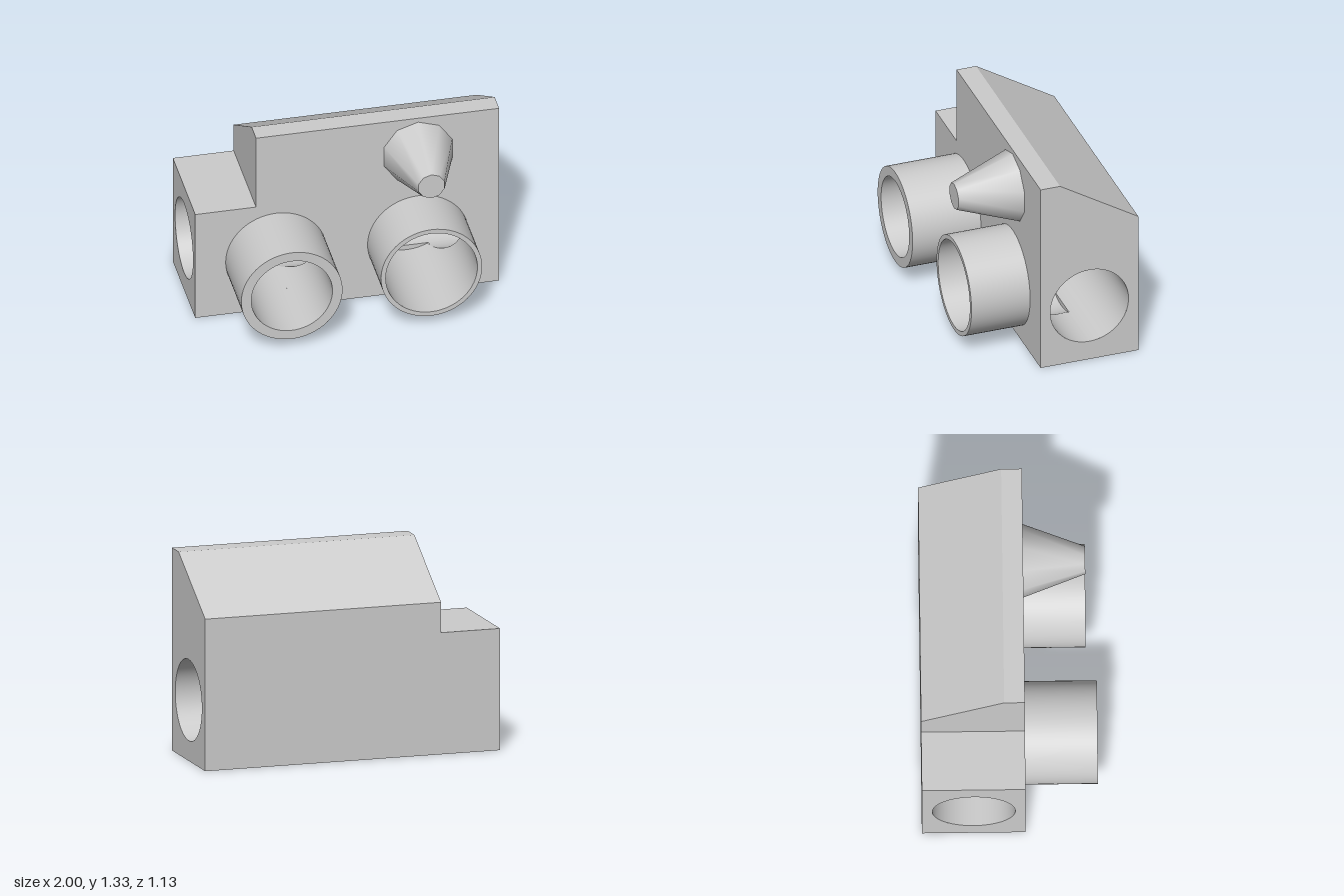
import * as THREE from 'three';
import { ParametricGeometry } from 'three/addons/geometries/ParametricGeometry.js';

const FRONT = 0.1, BACK = -0.567, TOP = 1.333, STEP_X = -0.6, STEP_Y = 0.8;
const BORE = { y: 0.4, z: -0.233, r: 0.267 };
const PORTS = [
  { name: 'rightPort', x: -0.467, inner: 0.267, outer: 0.333, z: 0.567 },
  { name: 'leftPort', x: 0.467, inner: 0.302, outer: 0.333, z: 0.5 },
];

export function createModel() {
  const model = new THREE.Group();
  const material = new THREE.MeshStandardMaterial({ color: 0xcccccc, side: THREE.DoubleSide });

  function add(parent, name, geometry) {
    const mesh = new THREE.Mesh(geometry, material);
    mesh.name = name;
    parent.add(mesh);
    return mesh;
  }
  function group(name) {
    const g = new THREE.Group();
    g.name = name;
    model.add(g);
    return g;
  }
  function face(points, holes = []) {
    const shape = new THREE.Shape(points.map(([x, y]) => new THREE.Vector2(x, y)));
    for (const [x, y, r] of holes) {
      shape.holes.push(new THREE.Path().absarc(x, y, r, 0, Math.PI * 2, true));
    }
    return new THREE.ShapeGeometry(shape, 64);
  }
  // Flat strip running along x between two (y, z) edge points
  function strip(x0, x1, [y0, z0], [y1, z1]) {
    const g = new THREE.BufferGeometry();
    g.setAttribute('position', new THREE.Float32BufferAttribute(
      [x0, y0, z0, x1, y0, z0, x1, y1, z1, x0, y1, z1], 3));
    g.setIndex([0, 1, 2, 0, 2, 3]);
    g.computeVertexNormals();
    return g;
  }
  function surface(fn, nu, nv) {
    const g = new ParametricGeometry(fn, nu, nv);
    g.computeVertexNormals();
    return g;
  }

  // Housing: front with port openings, then the outer walls
  const body = group('housing');
  add(body, 'frontWall', face(
    [[-1, 0], [1, 0], [1, TOP], [STEP_X, TOP], [STEP_X, STEP_Y], [-1, STEP_Y]],
    PORTS.map((p) => [p.x, BORE.y, p.inner]))).position.z = FRONT;
  add(body, 'topWall', strip(STEP_X, 1, [TOP, FRONT], [TOP, -0.033]));
  add(body, 'slopedWall', strip(STEP_X, 1, [TOP, -0.033], [1, BACK]));
  add(body, 'upperBackWall', strip(STEP_X, 1, [1, BACK], [STEP_Y, BACK]));
  add(body, 'lowerBackWall', strip(-1, 1, [STEP_Y, BACK], [0, BACK]));
  add(body, 'bottomWall', strip(-1, 1, [0, BACK], [0, FRONT]));
  add(body, 'stepLedge', strip(-1, STEP_X, [STEP_Y, FRONT], [STEP_Y, BACK]));

  // End walls are drawn in (-z, y) and turned to face sideways
  const boreHole = [[-BORE.z, BORE.y, BORE.r]];
  const upper = [[-BACK, 1], [0.033, TOP], [-FRONT, TOP]];
  add(body, 'leftEnd', face([[-FRONT, 0], [-BACK, 0], ...upper], boreHole)
    .rotateY(Math.PI / 2).translate(1, 0, 0));
  add(body, 'rightEnd', face(
    [[-FRONT, 0], [-BACK, 0], [-BACK, STEP_Y], [-FRONT, STEP_Y]], boreHole)
    .rotateY(Math.PI / 2).translate(-1, 0, 0));
  add(body, 'stepWall', face([[-FRONT, STEP_Y], [-BACK, STEP_Y], ...upper])
    .rotateY(Math.PI / 2).translate(STEP_X, 0, 0));

  // Cross bore: solid back half, front half split where the ports break in
  const bore = group('crossBore');
  const halfChord = (p, dy) => Math.sqrt(Math.max(0, p.inner ** 2 - dy ** 2));
  function boreHalf(side, left, right) {
    return surface((u, v, target) => {
      const a = (v - 0.5) * Math.PI;
      const dy = BORE.r * Math.sin(a);
      const x = THREE.MathUtils.lerp(left(dy), right(dy), u);
      target.set(x, BORE.y + dy, BORE.z + side * BORE.r * Math.cos(a));
    }, 8, 48);
  }
  const [a, b] = PORTS;
  add(bore, 'boreBack', boreHalf(-1, () => -1, () => 1));
  add(bore, 'boreRight', boreHalf(1, () => -1, (d) => a.x - halfChord(a, d)));
  add(bore, 'boreMiddle', boreHalf(1, (d) => a.x + halfChord(a, d), (d) => b.x - halfChord(b, d)));
  add(bore, 'boreLeft', boreHalf(1, (d) => b.x + halfChord(b, d), () => 1));

  // Front ports: outer sleeve, rim, and inner wall trimmed to the bore
  for (const p of PORTS) {
    const port = group(p.name);
    port.position.set(p.x, BORE.y, 0);
    const length = p.z - FRONT;
    add(port, 'sleeve', new THREE.CylinderGeometry(p.outer, p.outer, length, 64, 1, true)
      .rotateX(Math.PI / 2).translate(0, 0, FRONT + length / 2));
    add(port, 'rim', new THREE.RingGeometry(p.inner, p.outer, 64).translate(0, 0, p.z));
    add(port, 'innerWall', surface((u, v, target) => {
      const t = u * Math.PI * 2;
      const y = p.inner * Math.sin(t);
      const end = BORE.z + Math.sqrt(Math.max(0, BORE.r ** 2 - y ** 2));
      target.set(p.inner * Math.cos(t), y, THREE.MathUtils.lerp(p.z, end, v));
    }, 96, 4));
    // Small flat floors above and below the bore in the wider port
    if (p.inner > BORE.r) {
      const start = Math.asin(BORE.r / p.inner);
      for (const turn of [0, Math.PI]) {
        const segment = new THREE.Shape().absarc(0, 0, p.inner, start, Math.PI - start, false);
        add(port, 'portFloor', new THREE.ShapeGeometry(segment, 16)
          .rotateZ(turn).translate(0, 0, BORE.z));
      }
    }
  }

  // Tapered ten-sided nozzle
  add(model, 'nozzle', new THREE.CylinderGeometry(0.09, 0.236, 0.4, 10)
    .rotateX(Math.PI / 2)).position.set(0.467, 1.067, FRONT + 0.2);

  return model;
}
